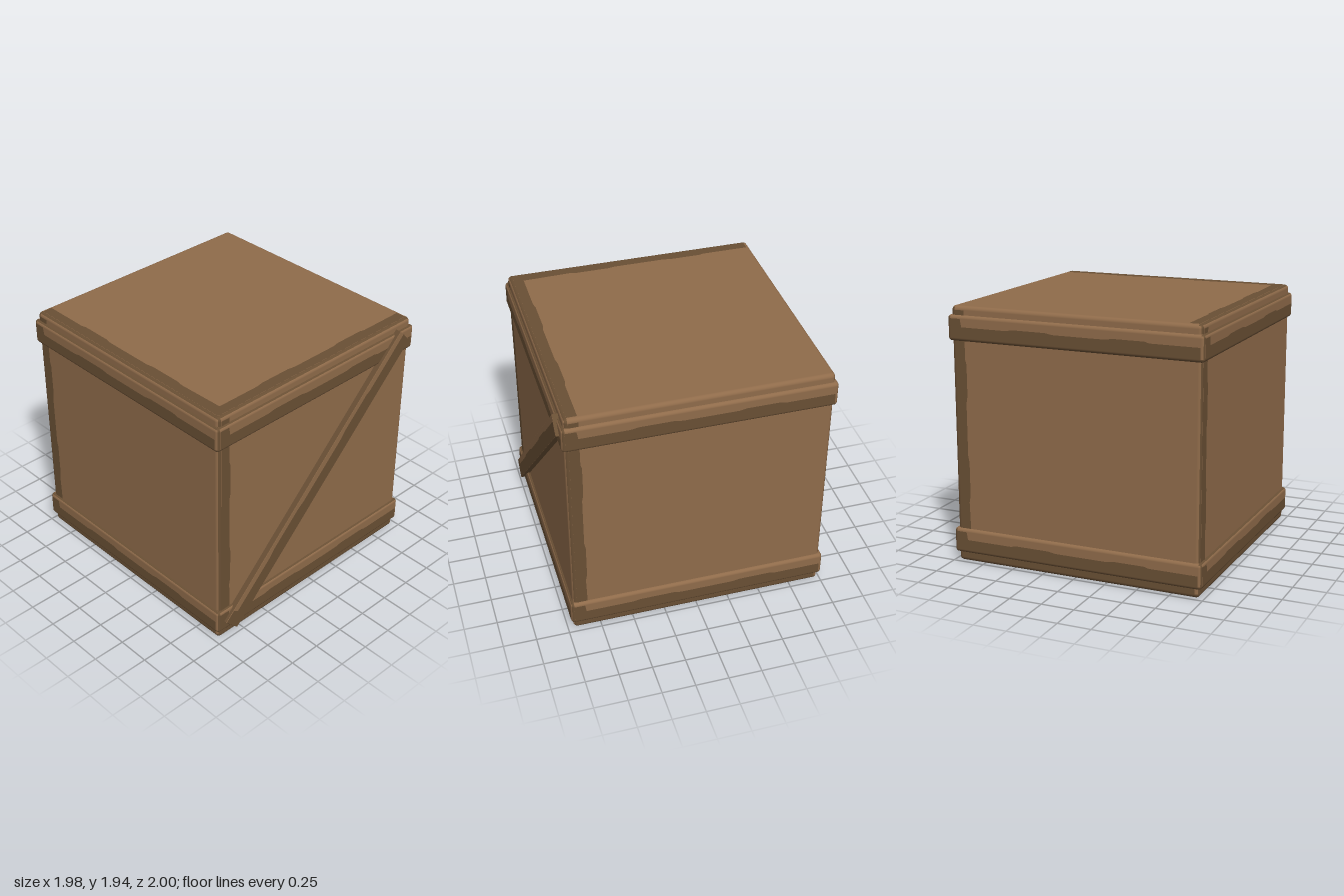
import * as THREE from 'three';
import { RoundedBoxGeometry } from 'three/addons/geometries/RoundedBoxGeometry.js';

const wood = new THREE.MeshStandardMaterial({ color: 0x8f6b4a });
wood.name = 'wood';
const wornWood = new THREE.MeshStandardMaterial({ color: 0x694f34 });
wornWood.name = 'dark worn wood';

const STRIP = 0.105; // width of the dark strip along the left and lower edge of each face
const LIFT = 0.0015;

// Right (u) and up (v) directions of the six box faces, in BoxGeometry order
const V = (x, y, z) => new THREE.Vector3(x, y, z);
const FACES = [
  [V(0, 0, -1), V(0, 1, 0)], [V(0, 0, 1), V(0, 1, 0)],
  [V(1, 0, 0), V(0, 0, -1)], [V(1, 0, 0), V(0, 0, 1)],
  [V(1, 0, 0), V(0, 1, 0)], [V(-1, 0, 0), V(0, 1, 0)],
];
const extent = (size, axis) => Math.abs(size.dot(axis));

// L-shaped strip with a slightly ragged inner edge
function stripShape(w, h, r) {
  const x0 = -w / 2 + r, x1 = w / 2 - r, y0 = -h / 2 + r, y1 = h / 2 - r;
  const shape = new THREE.Shape();
  shape.moveTo(x0, y0);
  shape.lineTo(x1, y0);
  if (STRIP >= Math.min(w, h) - r) {
    shape.lineTo(x1, y1);
  } else {
    const ix = -w / 2 + STRIP, iy = -h / 2 + STRIP;
    const waves = [[0.8, 0], [0.78, 0.01], [0.65, 0.01], [0.62, 0], [0.4, 0], [0.37, 0.01], [0.23, 0.01], [0.2, 0]];
    shape.lineTo(x1, iy);
    for (const [t, d] of waves) shape.lineTo(ix + (x1 - ix) * t, iy + d);
    shape.lineTo(ix + 0.01, iy);
    if (h > 0.5) for (const [t, d] of [...waves].reverse()) shape.lineTo(ix + d, iy + (y1 - iy) * t);
    shape.lineTo(ix, y1);
  }
  shape.lineTo(x0, y1);
  return shape;
}

// Rounded timber with dark strips on every face
function timber(name, w, h, d, r) {
  const group = new THREE.Group();
  group.name = name;
  const size = V(w, h, d);
  const geo = new RoundedBoxGeometry(w, h, d, 3, r);
  const pos = geo.attributes.position;
  const perFace = pos.count / 6;
  const a = V(0, 0, 0), c = V(0, 0, 0);
  geo.clearGroups();
  for (let i = 0; i < pos.count; i += 3) {
    const [u, v] = FACES[Math.floor(i / perFace)];
    c.set(0, 0, 0);
    for (let k = 0; k < 3; k++) c.add(a.fromBufferAttribute(pos, i + k));
    c.divideScalar(3);
    const fw = extent(size, u), fh = extent(size, v);
    const dark = c.dot(u) < r - fw / 2 || c.dot(v) < r - fh / 2 || STRIP >= Math.min(fw, fh) - r;
    const last = geo.groups[geo.groups.length - 1];
    if (last && last.materialIndex === Number(dark)) last.count += 3;
    else geo.addGroup(i, 3, Number(dark));
  }
  const block = new THREE.Mesh(geo, [wood, wornWood]);
  block.name = name + 'Block';
  group.add(block);

  for (const [u, v] of FACES) {
    const fw = extent(size, u), fh = extent(size, v);
    if (STRIP >= Math.min(fw, fh) - r) continue; // already wholly dark
    const n = u.clone().cross(v);
    const plate = new THREE.Mesh(new THREE.ShapeGeometry(stripShape(fw, fh, r)), wornWood);
    plate.name = name + 'WornEdge';
    plate.geometry.applyMatrix4(new THREE.Matrix4().makeBasis(u, v, n)
      .setPosition(n.clone().multiplyScalar(extent(size, n) / 2 + LIFT)));
    group.add(plate);
  }
  return group;
}

export function createModel() {
  const crate = new THREE.Group();
  crate.name = 'crate';

  // Main box
  const body = timber('body', 1.93, 1.94, 1.935, 0.03);
  body.position.set(0, 0.97, -0.0125);
  crate.add(body);

  // Bands around the bottom and the top
  for (const [name, y] of [['lowerBand', 0.165], ['upperBand', 1.78]]) {
    const band = timber(name, 1.975, 0.19, 1.975, 0.025);
    band.position.set(0, y, -0.0125);
    crate.add(band);
  }

  // Diagonal brace on the front
  const brace = timber('diagonalBrace', 2.46, 0.155, 0.06, 0.004);
  brace.position.set(-0.004, 0.973, 0.9685);
  brace.rotation.z = Math.PI / 4;
  crate.add(brace);

  return crate;
}
